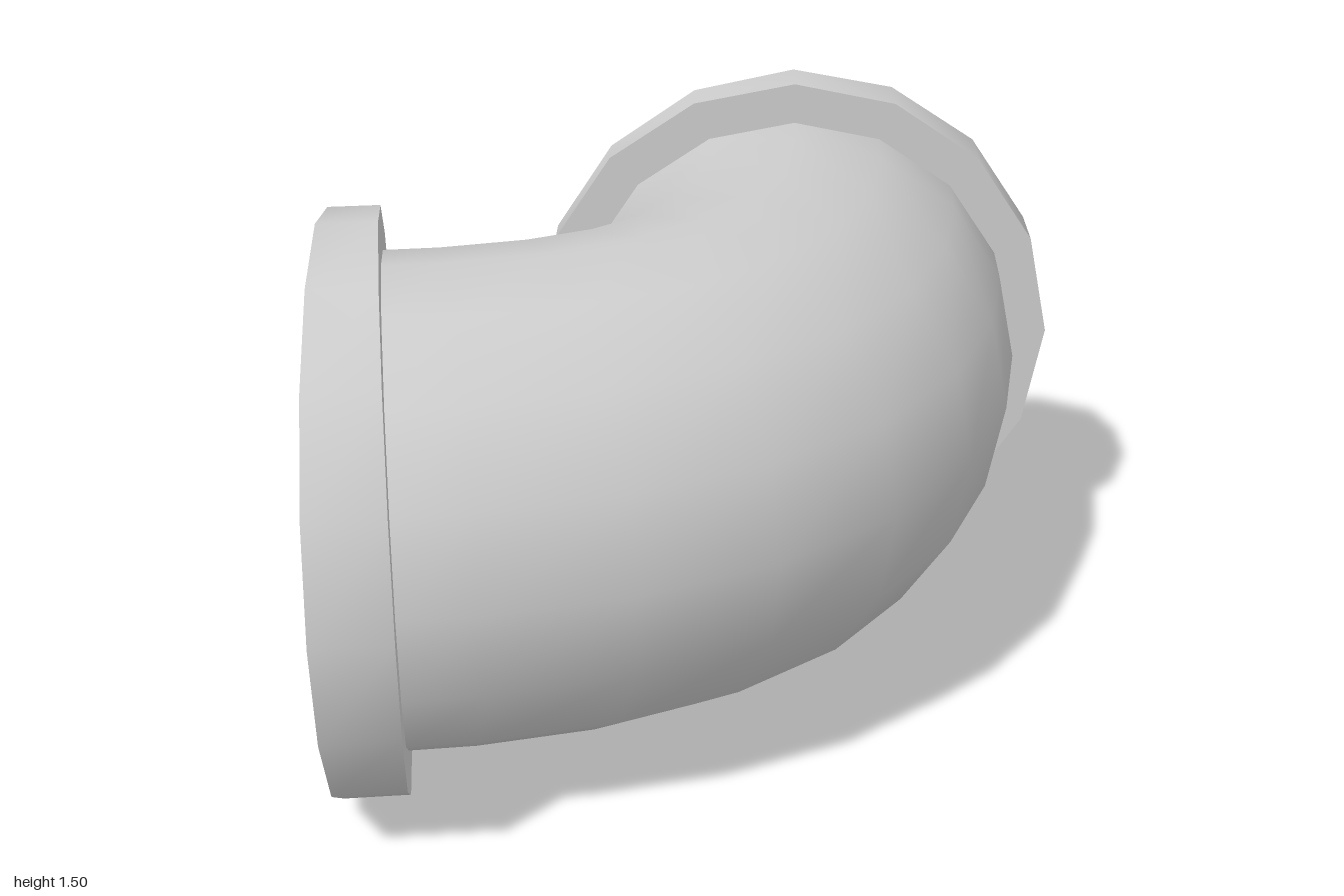
import * as THREE from 'three';

const SIDES = 16, PIPE_R = 0.635, COLLAR_R = 0.748, CY = 0.748;

// A station is a cross-section plane: centre (x, z) and sideways direction (nx, nz)
function station(x, z, nx, nz) {
  const l = Math.hypot(nx, nz);
  return { x, z, nx: nx / l, nz: nz / l };
}
const mirror = (s) => station(s.z, s.x, s.nz, s.nx);

// Skin a series of [station, radius] rings with smooth normals
function loft(rings) {
  const pos = [], index = [];
  for (const [s, r] of rings) {
    for (let j = 0; j < SIDES; j++) {
      const a = (j / SIDES) * Math.PI * 2, c = Math.cos(a) * r;
      pos.push(s.x + s.nx * c, CY + Math.sin(a) * r, s.z + s.nz * c);
    }
  }
  for (let i = 0; i < rings.length - 1; i++) {
    for (let j = 0; j < SIDES; j++) {
      const a = i * SIDES + j, b = i * SIDES + (j + 1) % SIDES;
      index.push(a, b, a + SIDES, b, b + SIDES, a + SIDES);
    }
  }
  const g = new THREE.BufferGeometry();
  g.setAttribute('position', new THREE.Float32BufferAttribute(pos, 3));
  g.setIndex(index);
  g.computeVertexNormals();
  return g;
}

export function createModel() {
  const group = new THREE.Group();
  group.name = 'pipeElbow';
  const grey = new THREE.MeshStandardMaterial({ color: 0xcccccc, side: THREE.DoubleSide });
  grey.name = 'light grey';

  const add = (name, rings) => {
    const mesh = new THREE.Mesh(loft(rings), grey);
    mesh.name = name;
    group.add(mesh);
  };

  // Open mouth and slightly tilted shoulder of the back end; the other end mirrors them
  const mouth = station(0.252, -1, 1, 0);
  const shoulder = station(0.244, -0.85, 1, 0.063);

  // Bent pipe along a quarter turn
  const bend = new THREE.CubicBezierCurve(
    new THREE.Vector2(0.25, -1), new THREE.Vector2(0.25, -0.12),
    new THREE.Vector2(-0.12, 0.25), new THREE.Vector2(-1, 0.25));
  const pipe = [[shoulder, PIPE_R]];
  for (let i = 1; i < 8; i++) {
    const p = bend.getPoint(i / 8), t = bend.getTangent(i / 8);
    pipe.push([station(p.x, p.y, t.y, -t.x), PIPE_R]);
  }
  pipe.push([mirror(shoulder), PIPE_R]);
  add('bentPipe', pipe);

  // Wider collars, each with a flat step down to the pipe
  add('backCollar', [[mouth, COLLAR_R], [shoulder, COLLAR_R]]);
  add('backCollarStep', [[shoulder, COLLAR_R], [shoulder, PIPE_R]]);
  add('sideCollar', [[mirror(shoulder), COLLAR_R], [mirror(mouth), COLLAR_R]]);
  add('sideCollarStep', [[mirror(shoulder), PIPE_R], [mirror(shoulder), COLLAR_R]]);

  return group;
}
